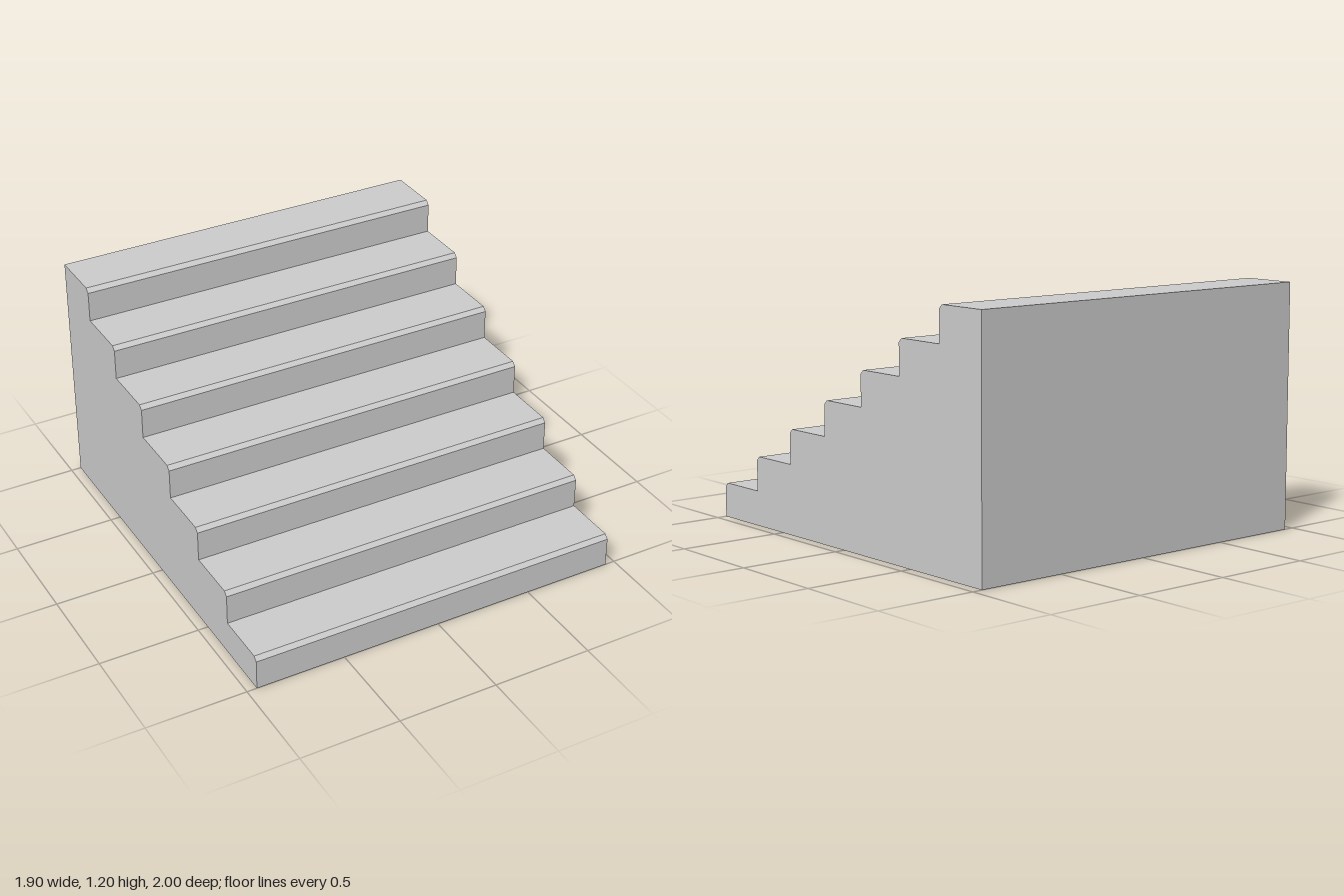
import * as THREE from 'three';

const STEPS = 7, WIDTH = 1.9, DEPTH = 2, HEIGHT = 1.2, CHAMFER = 0.02;

export function createModel() {
  const group = new THREE.Group();
  group.name = 'staircase';

  // Side profile: x runs front to back depth, y is height
  const tread = DEPTH / STEPS, rise = HEIGHT / STEPS;
  const profile = new THREE.Shape();
  profile.moveTo(-DEPTH / 2, 0);
  profile.lineTo(DEPTH / 2, 0);
  for (let i = 0; i < STEPS; i++) {
    const front = DEPTH / 2 - i * tread, top = (i + 1) * rise;
    // Riser, chamfered nosing, tread
    profile.lineTo(front, top - CHAMFER);
    profile.lineTo(front - CHAMFER, top);
    profile.lineTo(front - tread, top);
  }
  profile.closePath();

  // Solid block of steps across the full width
  const geometry = new THREE.ExtrudeGeometry(profile, { depth: WIDTH, bevelEnabled: false });
  geometry.translate(0, 0, -WIDTH / 2);
  geometry.rotateY(-Math.PI / 2);
  const material = new THREE.MeshStandardMaterial({ color: 0xcccccc, flatShading: true });
  const steps = new THREE.Mesh(geometry, material);
  steps.name = 'steps';
  group.add(steps);
  return group;
}
